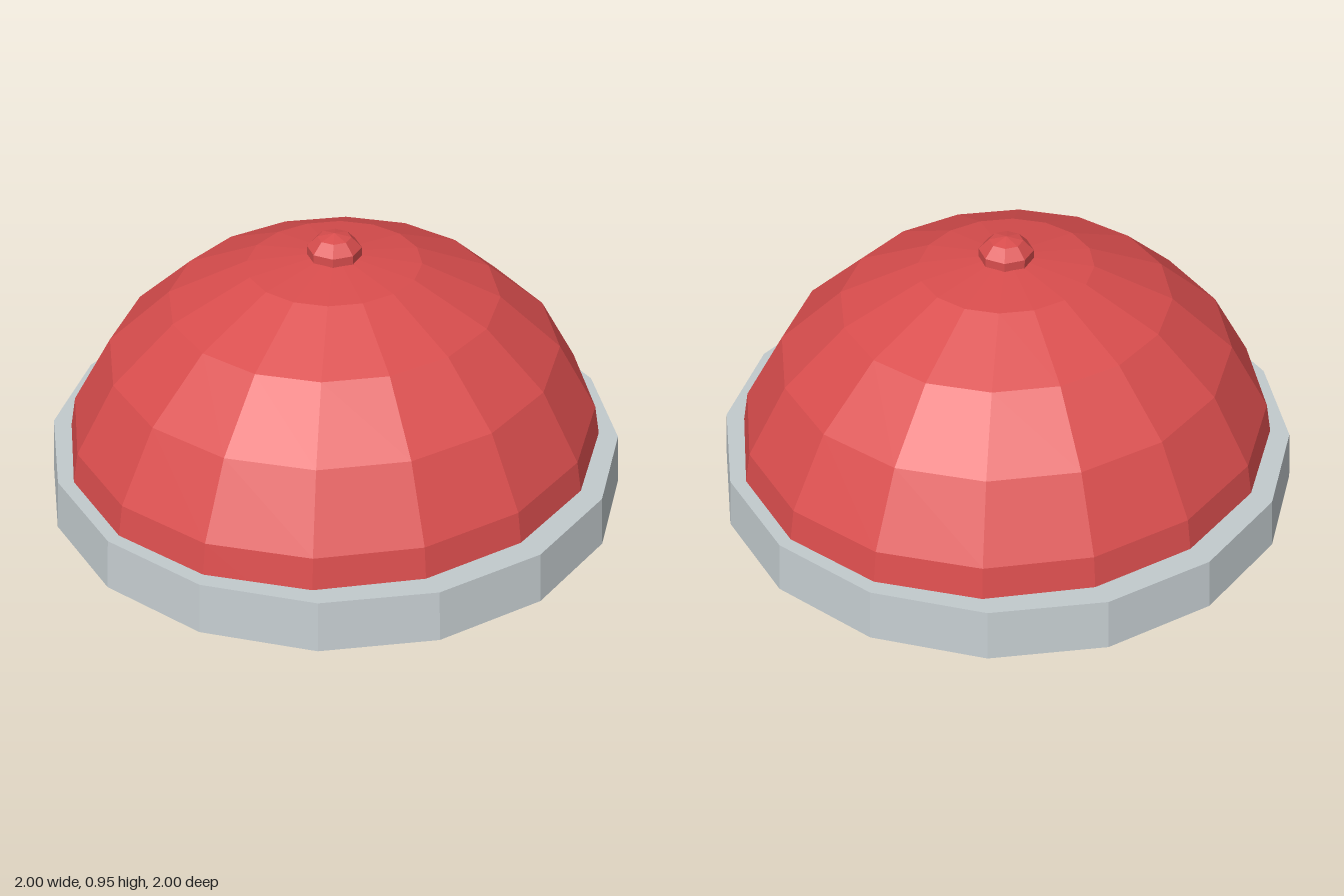
import * as THREE from 'three';

const red = new THREE.MeshStandardMaterial({ color: 0xd94d4d, name: 'red' });
const grey = new THREE.MeshStandardMaterial({ color: 0xc3cbce, name: 'lightGrey' });

// Faceted mesh: unshared vertices give one normal per face
function faceted(name, geometry, material, y) {
  const flat = geometry.toNonIndexed();
  flat.computeVertexNormals();
  const mesh = new THREE.Mesh(flat, material);
  mesh.name = name;
  mesh.position.y = y;
  return mesh;
}

export function createModel() {
  const group = new THREE.Group();
  group.name = 'domedButton';

  // Slightly tapered 16-sided base
  group.add(faceted('base', new THREE.CylinderGeometry(0.987, 1, 0.18, 16), grey, 0.09));

  // Half dome, a little narrower front to back, sunk into the base
  const dome = new THREE.SphereGeometry(1, 16, 5, 0, Math.PI * 2, 0, Math.PI / 2);
  dome.scale(0.97, 0.866, 0.928);
  group.add(faceted('dome', dome, red, 0.021));

  // Small flattened knob on top
  const knob = new THREE.SphereGeometry(1, 8, 5);
  knob.scale(0.0965, 0.073, 0.0965);
  group.add(faceted('knob', knob, red, 0.882));

  return group;
}
